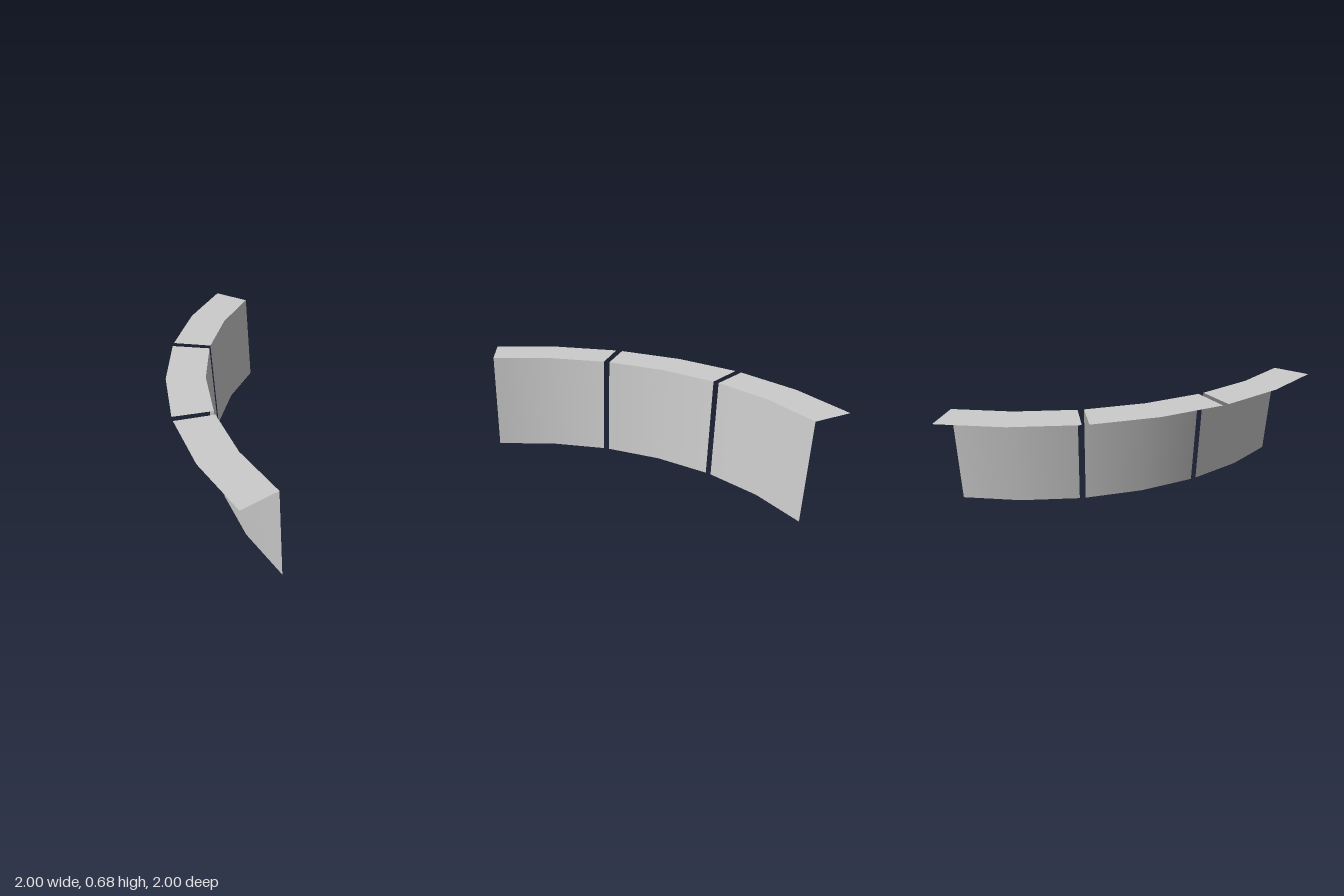
import * as THREE from 'three';

const HEIGHT = 0.675;
const R_OUTER = 2.5, R_INNER = 2.228, R_BASE = 2.174;
const CENTRE = 1.447; // the arc is centred on (CENTRE, -CENTRE)
const PITCH = THREE.MathUtils.degToRad(22.5);
const SPAN = THREE.MathUtils.degToRad(21.42);

export function createModel() {
  const group = new THREE.Group();
  const material = new THREE.MeshStandardMaterial({ color: 0xcccccc, side: THREE.DoubleSide });

  // thin sheet swept along part of the arc, from profile points [radius, y]
  const sheet = (name, profile, middle) => {
    const points = profile.map(([r, y]) => new THREE.Vector2(r, y));
    const geometry = new THREE.LatheGeometry(points, 2, middle - SPAN / 2, SPAN);
    geometry.translate(CENTRE, 0, -CENTRE);
    const mesh = new THREE.Mesh(geometry, material);
    mesh.name = name;
    return mesh;
  };

  // three separate sections, each a flat top over a leaning wall, open at the ends
  ['rightSection', 'middleSection', 'leftSection'].forEach((name, i) => {
    const section = new THREE.Group();
    section.name = name;
    const middle = -Math.PI / 4 + (i - 1) * PITCH;
    section.add(
      sheet('topPanel', [[R_OUTER, HEIGHT], [R_INNER, HEIGHT]], middle),
      sheet('leaningWall', [[R_BASE, 0], [R_INNER, HEIGHT]], middle)
    );
    group.add(section);
  });

  return group;
}
